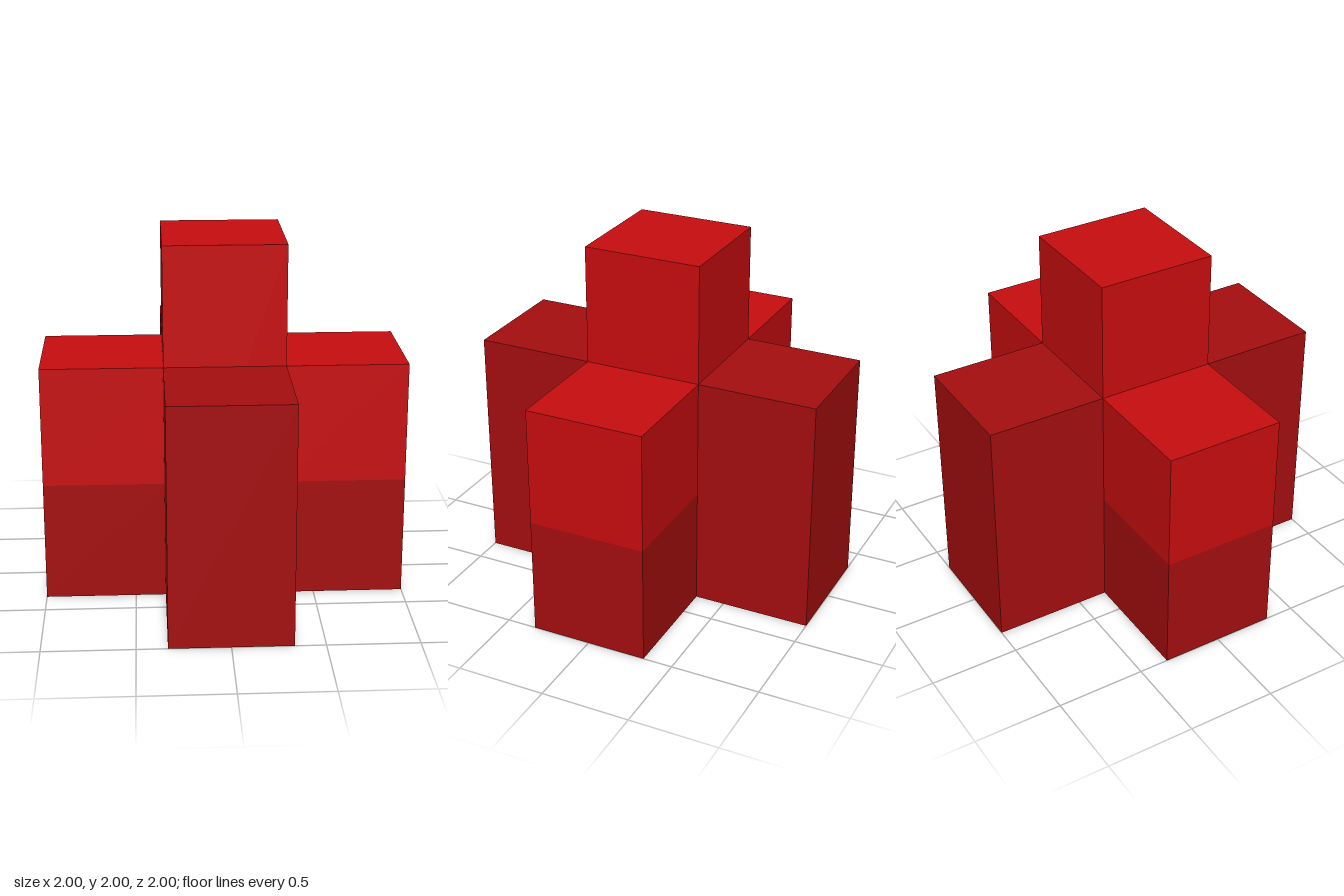
import * as THREE from 'three';

const U = 2 / 3; // edge of one cube

export function createModel() {
  const model = new THREE.Group();
  model.name = 'crossTower';

  const brightRed = new THREE.MeshStandardMaterial({ color: 0xc80d0f });
  brightRed.name = 'bright red';
  const darkRed = new THREE.MeshStandardMaterial({ color: 0xa50e0f });
  darkRed.name = 'dark red';

  // Block standing on level `level`, `height` cubes tall, at cube column (i, k)
  function block(name, material, i, k, level, height) {
    const mesh = new THREE.Mesh(new THREE.BoxGeometry(U, height * U, U), material);
    mesh.name = name;
    mesh.position.set(i * U, (level + height / 2) * U, k * U);
    model.add(mesh);
  }

  // Central column
  block('centralColumn', brightRed, 0, 0, 0, 3);

  // Side arms: dark base with a bright upper cube
  for (const [side, s] of [['left', 1], ['right', -1]]) {
    block(side + 'ArmBase', darkRed, s, 0, 0, 1);
    block(side + 'ArmTop', brightRed, s, 0, 1, 1);
  }

  // Front and back arms: dark for their whole height
  block('frontArm', darkRed, 0, 1, 0, 2);
  block('backArm', darkRed, 0, -1, 0, 2);

  return model;
}
